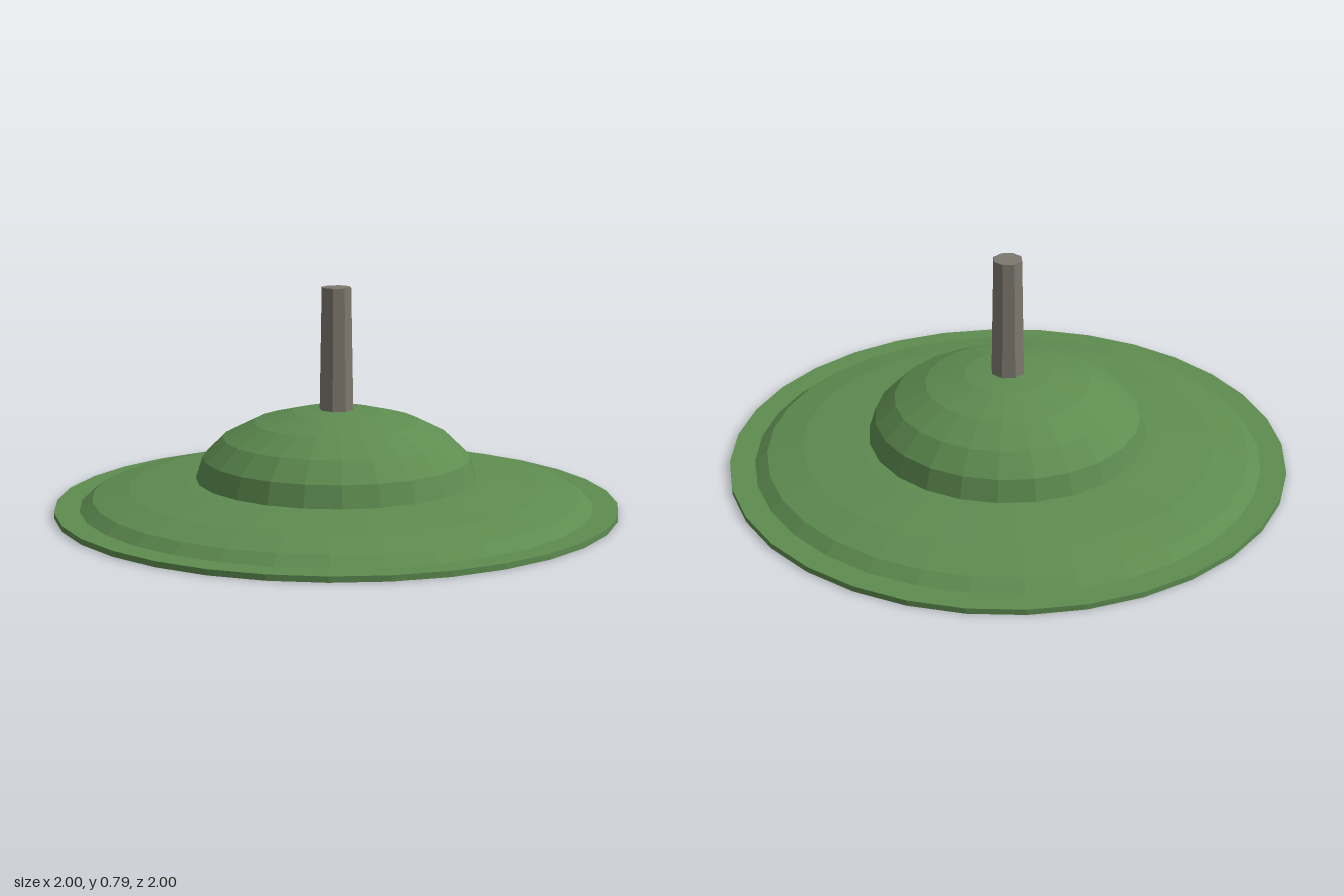
import * as THREE from 'three';

export function createModel() {
  const model = new THREE.Group();
  const green = new THREE.MeshStandardMaterial({ color: 0x5e8c50, flatShading: true });
  green.name = 'leaf green';
  const grey = new THREE.MeshStandardMaterial({ color: 0x7d786f, flatShading: true });
  grey.name = 'warm grey';

  const add = (name, geometry, material, y) => {
    const mesh = new THREE.Mesh(geometry, material);
    mesh.name = name;
    mesh.position.y = y;
    model.add(mesh);
  };
  // Flattened upper half of a sphere
  const dome = (radius, height, sides) =>
    new THREE.SphereGeometry(radius, sides, 5, 0, Math.PI * 2, 0, Math.PI / 2)
      .scale(1, height / radius, 1);

  // Thin round base plate
  add('basePlate', new THREE.CylinderGeometry(1, 1, 0.02, 32), green, 0.01);
  // Wide shallow mound and the taller dome on it
  add('lowerMound', dome(0.91, 0.11, 32), green, 0.02);
  add('upperDome', dome(0.5, 0.25, 24), green, 0.11);
  // Slightly tapered post
  add('post', new THREE.CylinderGeometry(0.053, 0.062, 0.49, 8), grey, 0.545);

  return model;
}
